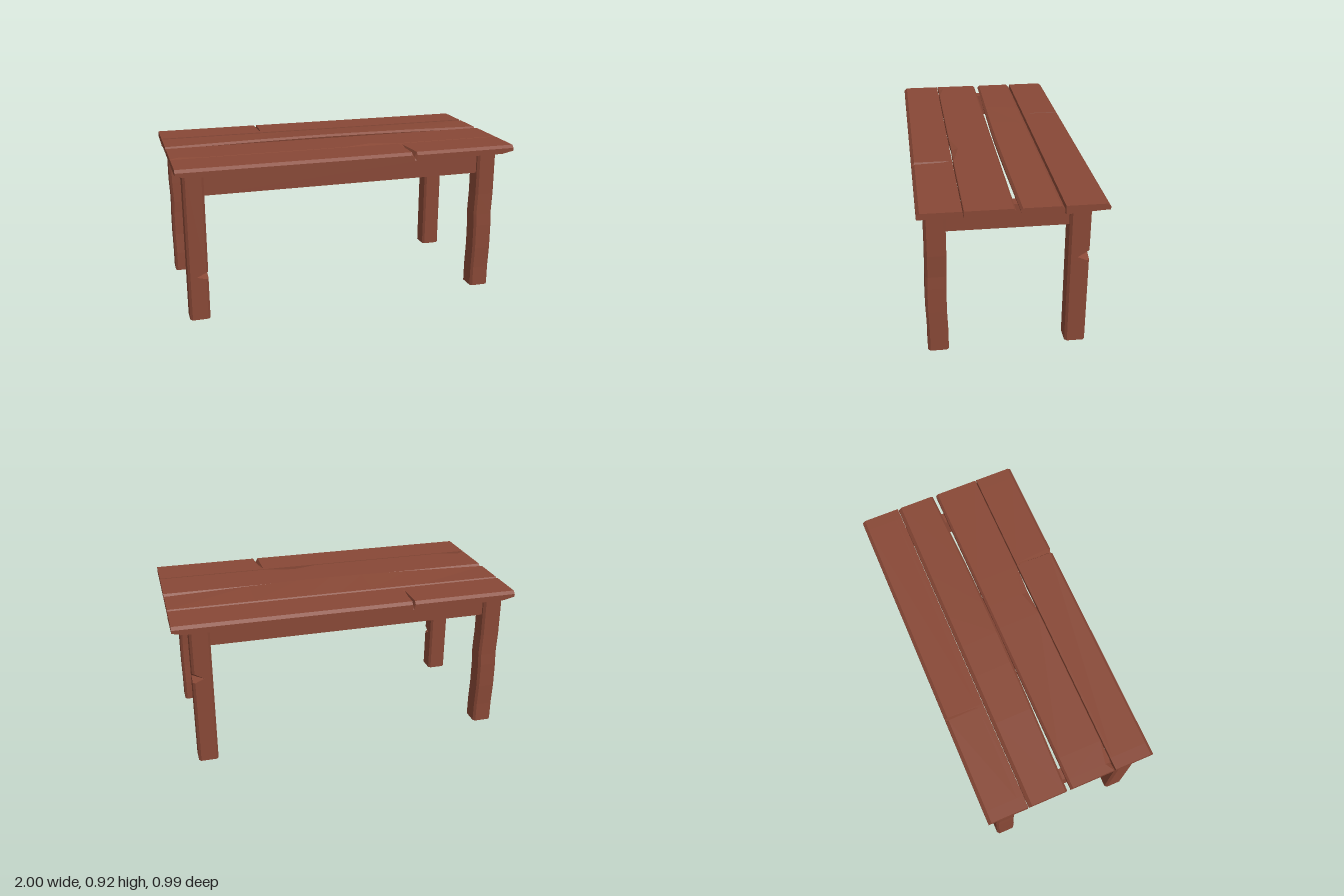
import * as THREE from 'three';

const wood = new THREE.MeshStandardMaterial({ color: 0x884836, flatShading: true });
wood.name = 'reddish brown wood';

// Skin a list of equal-length closed rings ([x, y, z] points) and cap both ends.
function loft(name, rings) {
  const n = rings[0].length, tris = [];
  const middle = r => [0, 1, 2].map(k => r.reduce((s, p) => s + p[k], 0) / n);
  for (let i = 0; i < rings.length - 1; i++) {
    const a = rings[i], b = rings[i + 1];
    for (let j = 0; j < n; j++) {
      const k = (j + 1) % n;
      tris.push([a[j], a[k], b[k]], [a[j], b[k], b[j]]);
    }
  }
  const first = rings[0], last = rings[rings.length - 1];
  for (let j = 0; j < n; j++) {
    const k = (j + 1) % n;
    tris.push([middle(first), first[k], first[j]], [middle(last), last[j], last[k]]);
  }
  // Turn all faces outward, whichever way the rings run.
  let volume = 0;
  for (const [a, b, c] of tris) {
    volume += a[0] * (b[1] * c[2] - b[2] * c[1]) + a[1] * (b[2] * c[0] - b[0] * c[2])
      + a[2] * (b[0] * c[1] - b[1] * c[0]);
  }
  if (volume < 0) tris.forEach(t => t.reverse());
  const g = new THREE.BufferGeometry();
  g.setAttribute('position', new THREE.Float32BufferAttribute(tris.flat(2), 3));
  g.computeVertexNormals();
  const mesh = new THREE.Mesh(g, wood);
  mesh.name = name;
  return mesh;
}

// Sections are [x, profile], each profile a list of [z, y] points.
const plank = (name, sections) =>
  loft(name, sections.map(([x, profile]) => profile.map(([z, y]) => [x, y, z])));

// Outer plank with a wedge-shaped split running in from its worn outer edge.
function outerPlank(name, side, splitX, halfWidth, splitStart) {
  const section = (x, cut = 0) => {
    const end = Math.abs(x) === 1;
    return [x, [
      [side * 0.263, 0.865 - (side < 0 ? 0.013 : 0)],
      [side * 0.263, 0.9],
      [side * splitStart, 0.9],
      [side * 0.478, 0.9 - cut],
      [side * (0.495 - cut * 0.2), 0.884 - cut * 0.6],
      [side * 0.495, end ? 0.867 : 0.852],
      [side * 0.45, end ? 0.865 : 0.852],
    ]];
  };
  return plank(name, [
    section(-1), section(-0.93), section(splitX - halfWidth), section(splitX, 0.03),
    section(splitX + halfWidth), section(0.93), section(1),
  ]);
}

// Chamfered post; a larger chamfer on one corner of a ring cuts a notch.
// Rings are [y, dx, dz, notchDepth].
function leg(name, x, z, rings, notchCorner = [0, 0]) {
  const h = 0.0575;
  return loft(name, rings.map(([y, dx, dz, depth = 0]) => {
    const points = [];
    [[1, 1], [-1, 1], [-1, -1], [1, -1]].forEach(([sx, sz], i) => {
      const hit = depth && sx === notchCorner[0] && sz === notchCorner[1];
      const c = hit ? depth : 0.013;
      const pair = [[sx * h, sz * (h - c)], [sx * (h - c), sz * h]];
      if (i % 2) pair.reverse();
      for (const [px, pz] of pair) points.push([x + dx + px, y, z + dz + pz]);
    });
    return points;
  }));
}

function rail(name, w, d, x, z) {
  const mesh = new THREE.Mesh(new THREE.BoxGeometry(w, 0.136, d), wood);
  mesh.position.set(x, 0.798, z);
  mesh.name = name;
  return mesh;
}

export function createModel() {
  const table = new THREE.Group();
  table.name = 'table';

  // Table top: split outer boards
  table.add(outerPlank('frontPlank', 1, 0.37, 0.015, 0.275));
  table.add(outerPlank('backPlank', -1, -0.372, 0.008, 0.3));

  // Inner front board, with shallow wear along its front edge
  const wear = [[-1, 0], [-0.95, 0.012], [-0.82, 0], [0.02, 0], [0.17, 0.016], [0.35, 0], [1, 0]];
  table.add(plank('innerFrontPlank', wear.map(([x, w]) => [x, [
    [-0.008, 0.865], [-0.008, 0.887], [0.004, 0.9],
    [0.253 - w * 2.5, 0.9], [0.257 - w * 0.3, 0.898 - w * 0.7], [0.257 - w * 0.3, 0.865],
  ]])));

  // Inner back board, warped upward and inward at its middle
  const warped = [-1, -0.5, -0.2, 0, 0.2, 0.5, 1].map(x => {
    const b = 1 - Math.abs(x) ** 1.5;
    return [x, [
      [-0.037 + 0.017 * b, 0.865], [-0.03 + 0.018 * b, 0.888 + 0.017 * b],
      [-0.042 + 0.017 * b, 0.9 + 0.017 * b], [-0.24, 0.9],
      [-0.258, 0.882], [-0.258, 0.865],
    ]];
  });
  table.add(plank('innerBackPlank', warped));

  // Legs: two notched, two gently crooked
  const crooked = s => [[0, 0, 0], [0.12, 0, 0], [0.25, 0.002 * s, 0.005 * s], [0.4, 0.001 * s, 0.005 * s],
    [0.47, -0.002 * s, 0.002 * s], [0.6, 0.004 * s, 0], [0.865, 0.003 * s, 0]];
  const notched = (y, low, high) =>
    [[0, 0, 0], [y - low, 0, 0], [y, 0, 0, 0.066], [y + high, 0, 0], [0.865, 0, 0]];
  table.add(leg('frontLeftLeg', 0.846, 0.4, crooked(1)));
  table.add(leg('backRightLeg', -0.9, -0.368, crooked(-1)));
  table.add(leg('frontRightLeg', -0.9, 0.4, notched(0.26, 0.015, 0.025), [1, 1]));
  table.add(leg('backLeftLeg', 0.846, -0.368, notched(0.54, 0.023, 0.033), [1, -1]));

  // Rails between the legs
  table.add(rail('frontRail', 1.69, 0.065, -0.027, 0.4));
  table.add(rail('backRail', 1.69, 0.065, -0.027, -0.368));
  table.add(rail('leftRail', 0.065, 0.7, 0.846, 0.016));
  table.add(rail('rightRail', 0.065, 0.7, -0.9, 0.016));
  return table;
}
